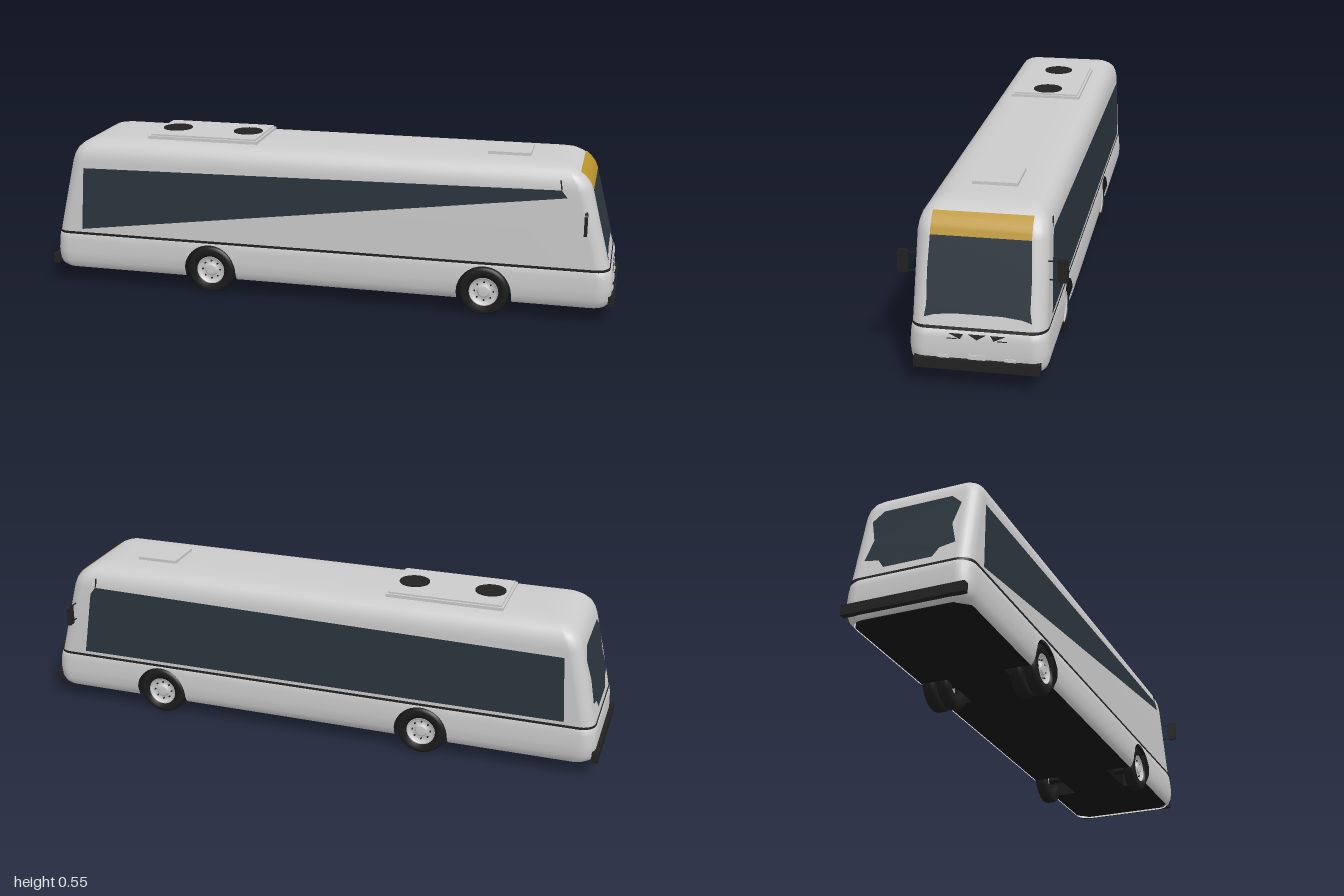
import * as THREE from 'three';

const mat = (color, side = THREE.FrontSide) => new THREE.MeshStandardMaterial({ color, side });
const GREY = mat(0xcccccc), GREY2 = mat(0xcccccc, THREE.DoubleSide);
const BLACK = mat(0x222222), RUBBER = mat(0x1c1c1c), UNDER = mat(0x161616);
const BAND = mat(0x222222, THREE.DoubleSide), GLASS = mat(0x2b353e, THREE.DoubleSide), AMBER = mat(0xbb942c, THREE.DoubleSide);

const AXLES = [-0.4, 0.567], HUB_Y = 0.084, WHEEL_R = 0.084, ARCH_R = 0.093;

// Levels: [y, rear x, front x, half width, corner radius]
const BODY = [
  [0.185, -0.978, 0.976, 0.202, 0.045], [0.2, -0.975, 0.972, 0.202, 0.045],
  [0.32, -0.948, 0.941, 0.1996, 0.045], [0.45, -0.918, 0.908, 0.197, 0.045],
  [0.475, -0.91, 0.898, 0.193, 0.045], [0.495, -0.898, 0.882, 0.186, 0.043],
  [0.511, -0.88, 0.862, 0.174, 0.04], [0.523, -0.857, 0.84, 0.157, 0.036],
  [0.53, -0.825, 0.81, 0.132, 0.03], [0.532, -0.77, 0.76, 0.09, 0.02],
];
const SKIRT = [
  [0.055, -0.968, 0.972, 0.192, 0.05], [0.065, -0.98, 0.981, 0.2, 0.05],
  [0.085, -0.986, 0.987, 0.207, 0.05], [0.12, -0.987, 0.989, 0.21, 0.05],
  [0.16, -0.985, 0.986, 0.207, 0.05], [0.178, -0.982, 0.982, 0.205, 0.05],
  [0.188, -0.974, 0.972, 0.2, 0.05],
];

// Interpolates a level table at height y
function levelAt(table, y) {
  let i = 0;
  while (i < table.length - 2 && table[i + 1][0] < y) i++;
  const a = table[i], b = table[i + 1], t = (y - a[0]) / (b[0] - a[0]);
  return a.map((v, k) => v + (b[k] - v) * t);
}

// Rounded rectangle outline; xs are the sample points along the long sides
function ring([y, xr, xf, w, r], xs) {
  const pts = xs.map(x => [x, y, w]);
  const corner = (cx, cz, a0) => {
    for (let i = 0; i <= 6; i++) {
      const a = a0 - i / 6 * Math.PI / 2;
      pts.push([cx + r * Math.cos(a), y, cz + r * Math.sin(a)]);
    }
  };
  corner(xf - r, w - r, Math.PI / 2);
  corner(xf - r, r - w, 0);
  [...xs].reverse().forEach(x => pts.push([x, y, -w]));
  corner(xr + r, r - w, -Math.PI / 2);
  corner(xr + r, w - r, Math.PI);
  return pts;
}

// Skins closed rings from bottom to top
function skin(rings, capped) {
  const n = rings[0].length, pos = rings.flat(2), idx = [];
  for (let j = 0; j < rings.length - 1; j++) for (let i = 0; i < n; i++) {
    const a = j * n + i, b = j * n + (i + 1) % n;
    idx.push(a, b, b + n, a, b + n, a + n);
  }
  if (capped) {
    const c = rings.length * n, last = c - n;
    pos.push(0, rings.at(-1)[0][1], 0);
    for (let i = 0; i < n; i++) idx.push(last + i, last + (i + 1) % n, c);
  }
  const g = new THREE.BufferGeometry();
  g.setAttribute('position', new THREE.Float32BufferAttribute(pos, 3));
  g.setIndex(idx);
  g.computeVertexNormals();
  return g;
}

// Bends a flat geometry with a rule (u, v) -> [x, y, z]
function bend(g, rule) {
  const p = g.attributes.position;
  for (let i = 0; i < p.count; i++) p.setXYZ(i, ...rule(p.getX(i), p.getY(i)));
  g.computeVertexNormals();
  return g;
}
const polygon = pts => new THREE.ShapeGeometry(new THREE.Shape(pts.map(p => new THREE.Vector2(...p))));
const mirrored = half => [...half, ...half.map(([u, v]) => [-u, v]).reverse()];

export function createModel() {
  const bus = new THREE.Group();
  const add = (name, geo, material, x = 0, y = 0, z = 0, parent = bus) => {
    const m = new THREE.Mesh(geo, material);
    m.name = name;
    m.position.set(x, y, z);
    parent.add(m);
    return m;
  };
  const box = (w, h, d) => new THREE.BoxGeometry(w, h, d);

  // Upper body and dark belt line
  const plainXs = [-0.7, -0.35, 0, 0.35, 0.7];
  add('upperBody', skin(BODY.map(l => ring(l, plainXs)), true), GREY);
  add('beltLine', skin([[0.183, -0.981, 0.98, 0.2045, 0.05], [0.192, -0.979, 0.977, 0.2045, 0.046]]
    .map(l => ring(l, plainXs))), BAND);

  // Skirt whose lower edge follows the wheel arches
  const skirtXs = [-0.9, -0.7];
  for (const cx of AXLES) {
    skirtXs.push(cx - ARCH_R - 0.001);
    for (let i = 0; i <= 24; i++) skirtXs.push(cx - ARCH_R * Math.cos(i / 24 * Math.PI));
    skirtXs.push(cx + ARCH_R + 0.001, cx + 0.25);
  }
  skirtXs.push(0.9);
  skirtXs.sort((a, b) => a - b);
  const bottomAt = x => {
    for (const cx of AXLES) {
      const d = Math.abs(x - cx);
      if (d <= ARCH_R + 1e-6) return HUB_Y + Math.sqrt(Math.max(0, ARCH_R ** 2 - d * d));
    }
    return 0.055;
  };
  const rows = SKIRT.map(l => ring(l, skirtXs).map(([x, y, z]) => {
    const low = bottomAt(x);
    if (low === 0.055) return [x, y, z];
    const yy = low + (y - 0.055) / 0.133 * (0.188 - low);
    return [x, yy, Math.sign(z) * levelAt(SKIRT, yy)[3]];
  }));
  add('skirt', skin(rows), GREY2);

  // Underfloor with wheel wells
  const half = [[-0.96, 0.15], [-0.925, 0.19]];
  for (const cx of AXLES) half.push([cx - 0.095, 0.19], [cx - 0.095, 0.1], [cx + 0.095, 0.1], [cx + 0.095, 0.19]);
  half.push([0.925, 0.19], [0.96, 0.15]);
  const outline = [...half, ...half.map(([x, z]) => [x, -z]).reverse()];
  const floor = new THREE.ExtrudeGeometry(new THREE.Shape(outline.map(p => new THREE.Vector2(...p))),
    { depth: 0.115, bevelEnabled: false });
  floor.rotateX(-Math.PI / 2);
  add('underfloor', floor, UNDER, 0, 0.057);
  add('wheelWellRoof', box(1.86, 0.006, 0.39), UNDER, 0, 0.18);

  // Side windows: a tapering one on the +z side, a full one on the -z side
  const sideRule = s => (x, y) => [x, y, s * (0.204 - (y - 0.2) * 0.02)];
  add('taperedSideWindow', bend(polygon([[-0.88, 0.203], [0.83, 0.43], [0.81, 0.455], [-0.865, 0.428]]), sideRule(1)), GLASS);
  add('fullSideWindow', bend(polygon([[-0.88, 0.203], [0.865, 0.203], [0.83, 0.43], [0.81, 0.455], [-0.865, 0.428]]), sideRule(-1)), GLASS);
  for (const s of [1, -1]) add('windowTrim', box(0.004, 0.035, 0.003), BLACK, 0.808, 0.472, s * 0.195).rotation.z = 0.15;

  // Windscreen, destination panel and rear window
  const frontRule = (z, y) => [levelAt(BODY, y)[2] + 0.003, y, z];
  const rearRule = (z, y) => [levelAt(BODY, y)[1] - 0.003, y, z];
  add('windscreen', bend(polygon(mirrored([[0.07, 0.23], [0.13, 0.224], [0.16, 0.215], [0.154, 0.25],
    [0.155, 0.35], [0.15, 0.45]])), frontRule), GLASS);
  add('destinationPanel', bend(new THREE.PlaneGeometry(0.3, 0.06, 1, 8).translate(0, 0.48, 0), frontRule), AMBER);
  add('rearWindow', bend(polygon(mirrored([[0.08, 0.215], [0.1, 0.245], [0.15, 0.255], [0.13, 0.33],
    [0.15, 0.41], [0.115, 0.445]])), rearRule), GLASS);

  // Nose details
  const noseRule = (z, y) => [levelAt(SKIRT, y)[2] + 0.003, y, z];
  for (const [a, b, tip] of [[-0.085, -0.04, -0.05], [-0.027, 0.027, 0], [0.04, 0.085, 0.05]])
    add('noseVent', bend(polygon([[a, 0.175], [tip, 0.159], [b, 0.175]]), noseRule), BAND);
  for (const s of [1, -1]) {
    add('noseSlot', box(0.004, 0.002, 0.03), BLACK, 0.986, 0.159, s * 0.075);
    add('noseLamp', box(0.006, 0.014, 0.034), GREY, 0.989, 0.099, s * 0.1);
  }
  add('numberPlate', box(0.006, 0.018, 0.05), GREY, 0.989, 0.102);

  // Bumpers
  add('frontBumper', box(0.022, 0.033, 0.378), BLACK, 0.989, 0.08);
  add('rearBumper', box(0.022, 0.033, 0.4), BLACK, -0.989, 0.083);

  // Mirrors on two thin arms
  const mirrorShape = new THREE.Shape(mirrored([[0.012, -0.036], [0.016, -0.031], [0.016, 0.031], [0.012, 0.036]])
    .map(p => new THREE.Vector2(...p)));
  const mirrorGeo = new THREE.ExtrudeGeometry(mirrorShape, { depth: 0.01, bevelEnabled: false });
  mirrorGeo.rotateY(Math.PI / 2);
  for (const s of [1, -1]) {
    const mirror = new THREE.Group();
    mirror.name = 'wingMirror';
    add('mirrorHousing', mirrorGeo, BLACK, 0.89, 0.355, s * 0.239, mirror);
    for (const y of [0.326, 0.384]) add('mirrorArm', box(0.004, 0.003, 0.045), BLACK, 0.895, y, s * 0.208, mirror);
    bus.add(mirror);
  }

  // Roof unit with two fans, and hatch
  add('roofUnitBase', box(0.4, 0.012, 0.25), GREY, -0.445, 0.535);
  add('roofUnitTop', box(0.385, 0.008, 0.235), GREY, -0.445, 0.543);
  for (const x of [-0.577, -0.313]) add('roofFan', new THREE.CylinderGeometry(0.052, 0.052, 0.006, 32), BLACK, x, 0.547);
  add('roofHatch', box(0.145, 0.014, 0.14), GREY, 0.623, 0.535);

  // Wheels: tyre and dished rim turned about the axle
  const lathe = pts => new THREE.LatheGeometry(pts.map(p => new THREE.Vector2(...p)), 40).rotateX(Math.PI / 2);
  const tyreGeo = lathe([[0.05, -0.02], [0.072, -0.0225], [0.081, -0.018], [WHEEL_R, -0.01], [WHEEL_R, 0.01],
    [0.081, 0.018], [0.072, 0.0225], [0.05, 0.02], [0.05, -0.02]]);
  const rimGeo = lathe([[0.051, -0.015], [0.052, 0.02], [0.046, 0.02], [0.042, 0.01], [0.024, 0.008],
    [0.02, 0.017], [0.016, 0.019], [0, 0.019]]);
  const boltGeo = new THREE.CylinderGeometry(0.003, 0.003, 0.006, 6).rotateX(Math.PI / 2);
  const wheel = (name, x, z, s) => {
    const g = new THREE.Group();
    g.name = name;
    add('tyre', tyreGeo, RUBBER, 0, 0, 0, g);
    add('rim', rimGeo, GREY2, 0, 0, 0, g);
    for (let i = 0; i < 8; i++) {
      const a = i / 8 * Math.PI * 2;
      add('wheelBolt', boltGeo, BLACK, 0.032 * Math.cos(a), 0.032 * Math.sin(a), 0.011, g);
    }
    g.position.set(x, HUB_Y, z);
    if (s < 0) g.rotation.y = Math.PI;
    bus.add(g);
  };
  for (const s of [1, -1]) {
    wheel('frontWheel', AXLES[1], s * 0.178, s);
    wheel('rearOuterWheel', AXLES[0], s * 0.178, s);
    wheel('rearInnerWheel', AXLES[0], s * 0.128, s);
  }
  for (const x of AXLES) add('axle', new THREE.CylinderGeometry(0.012, 0.012, 0.34, 12).rotateX(Math.PI / 2), UNDER, x, HUB_Y);

  return bus;
}
